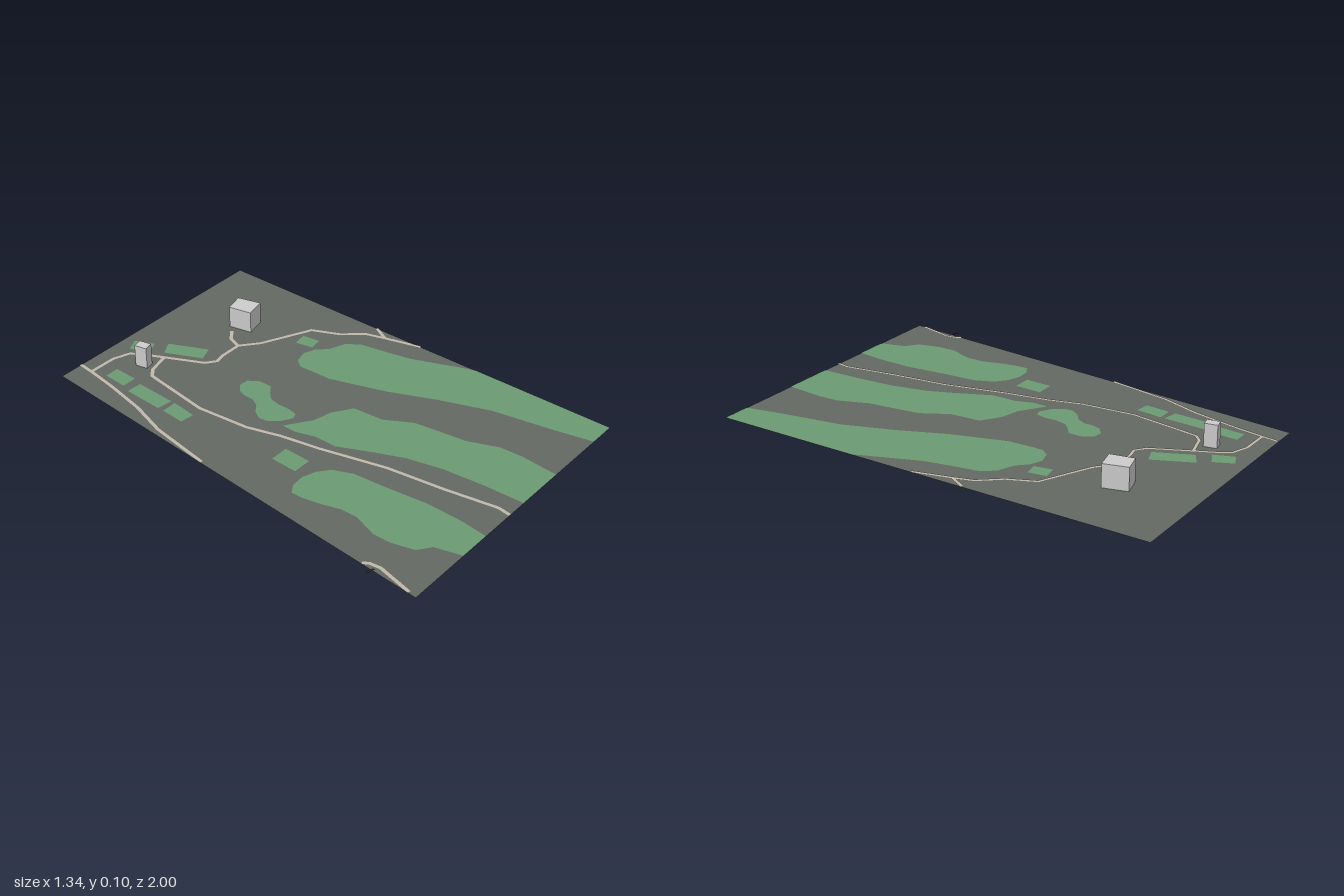
import * as THREE from 'three';

const mat = (color) => new THREE.MeshStandardMaterial({ color, side: THREE.DoubleSide });
const materials = {
  ground: mat(0x646863), grass: mat(0x6b9b73), path: mat(0xc0b8a9), dark: mat(0x2a2a2a), grey: mat(0xcccccc),
};

// turn [x, z] corners into a shape that faces up once laid flat
const toShape = (pts) => new THREE.Shape(pts.map(([x, z]) => new THREE.Vector2(x, -z)));

function flat(name, pts, material, y) {
  const mesh = new THREE.Mesh(new THREE.ShapeGeometry(toShape(pts)).rotateX(-Math.PI / 2), material);
  mesh.name = name;
  mesh.position.y = y;
  return mesh;
}

// flat strip of constant width along a polyline, with mitred corners
function ribbon(name, pts, width, material, y) {
  const p = pts.map(([x, z]) => new THREE.Vector2(x, z));
  const pos = [], idx = [];
  p.forEach((c, i) => {
    const a = c.clone().sub(p[Math.max(i - 1, 0)]).normalize();
    const b = p[Math.min(i + 1, p.length - 1)].clone().sub(c).normalize();
    const t = a.clone().add(b).normalize();
    const ref = i === 0 ? b : a;
    const h = width / 2 / Math.max(0.5, t.dot(ref));
    pos.push(c.x - t.y * h, 0, c.y + t.x * h, c.x + t.y * h, 0, c.y - t.x * h);
    if (i > 0) {
      const k = 2 * i;
      idx.push(k - 2, k, k - 1, k - 1, k, k + 1);
    }
  });
  const geo = new THREE.BufferGeometry();
  geo.setAttribute('position', new THREE.Float32BufferAttribute(pos, 3));
  geo.setIndex(idx);
  geo.computeVertexNormals();
  const mesh = new THREE.Mesh(geo, material);
  mesh.name = name;
  mesh.position.y = y;
  return mesh;
}

function building(name, pts, height) {
  const geo = new THREE.ExtrudeGeometry(toShape(pts), { depth: height, bevelEnabled: false });
  const mesh = new THREE.Mesh(geo.rotateX(-Math.PI / 2), materials.grey);
  mesh.name = name;
  return mesh;
}

const fairways = {
  leftHole: [[-0.48, 0.27], [-0.44, 0.245], [-0.38, 0.24], [-0.32, 0.26], [-0.27, 0.3], [-0.235, 0.385],
    [-0.225, 0.53], [-0.205, 0.72], [-0.21, 0.885], [-0.225, 1], [-0.37, 1], [-0.4, 0.885], [-0.455, 0.845],
    [-0.48, 0.745], [-0.48, 0.665], [-0.44, 0.56], [-0.44, 0.485], [-0.465, 0.4], [-0.48, 0.32]],
  middleHole: [[-0.165, -0.04], [-0.12, -0.01], [-0.055, 0.035], [0.03, 0.055], [0.115, 0.11], [0.125, 0.25],
    [0.19, 0.365], [0.205, 0.48], [0.22, 0.6], [0.27, 0.73], [0.275, 0.825], [0.26, 1], [0.03, 1],
    [0.025, 0.825], [0.01, 0.64], [-0.025, 0.48], [-0.07, 0.37], [-0.14, 0.215], [-0.14, 0.11], [-0.165, 0.03]],
  rightHole: [[0.215, -0.26], [0.245, -0.3], [0.305, -0.315], [0.355, -0.295], [0.4, -0.25], [0.475, -0.22],
    [0.515, -0.165], [0.54, -0.025], [0.56, 0.07], [0.665, 0.34], [0.665, 1], [0.54, 1], [0.505, 0.825],
    [0.46, 0.56], [0.38, 0.335], [0.295, 0.135], [0.22, -0.105]],
  curvedGreen: [[-0.087, -0.34], [-0.05, -0.37], [-0.01, -0.365], [0.02, -0.32], [0.02, -0.26], [-0.02, -0.23],
    [-0.05, -0.2], [-0.06, -0.15], [-0.06, -0.09], [-0.07, -0.05], [-0.1, -0.04], [-0.15, -0.07],
    [-0.18, -0.11], [-0.185, -0.15], [-0.16, -0.19], [-0.12, -0.22], [-0.1, -0.26], [-0.1, -0.3]],
};

// four-cornered lawns
const lawns = [
  [[-0.36, -0.855], [-0.295, -0.855], [-0.3, -0.745], [-0.368, -0.745]],
  [[-0.385, -0.703], [-0.315, -0.7], [-0.325, -0.51], [-0.395, -0.52]],
  [[-0.395, -0.49], [-0.325, -0.49], [-0.34, -0.373], [-0.405, -0.38]],
  [[-0.146, -0.925], [-0.088, -0.952], [-0.05, -0.868], [-0.113, -0.838]],
  [[-0.075, -0.787], [-0.012, -0.822], [0.065, -0.653], [-0.003, -0.627]],
  [[0.347, -0.394], [0.41, -0.405], [0.422, -0.325], [0.362, -0.314]],
  [[-0.362, 0.072], [-0.278, 0.072], [-0.282, 0.195], [-0.368, 0.195]],
];

const paths = {
  westPath: [[-0.37, -1], [-0.38, -0.92], [-0.405, -0.775], [-0.447, -0.585], [-0.505, -0.415], [-0.555, -0.13]],
  eastPath: [[-0.38, -0.925], [-0.25, -0.923], [-0.177, -0.897], [-0.15, -0.86], [-0.103, -0.76],
    [-0.024, -0.595], [0.02, -0.563], [0.066, -0.574], [0.167, -0.574], [0.246, -0.51], [0.468, -0.405],
    [0.52, -0.288], [0.595, -0.198], [0.62, -0.114], [0.663, 0.05]],
  eastBranch: [[0.62, -0.114], [0.663, -0.19]],
  buildingBranch: [[0.167, -0.574], [0.188, -0.632], [0.24, -0.675]],
  centrePath: [[-0.103, -0.76], [-0.204, -0.733], [-0.24, -0.7], [-0.288, -0.384], [-0.267, -0.145],
    [-0.225, 0], [-0.193, 0.177], [-0.124, 0.463], [-0.093, 0.717], [-0.056, 0.944], [-0.065, 1]],
  cornerPath: [[-0.637, 0.735], [-0.622, 0.76], [-0.617, 0.807], [-0.657, 0.965]],
};

export function createModel() {
  const model = new THREE.Group();
  model.name = 'parkSite';

  // site plate
  model.add(flat('ground', [[-0.48, -1], [0.665, -1], [0.665, 1], [-0.665, 1]], materials.ground, 0));

  // grass
  for (const [name, pts] of Object.entries(fairways)) model.add(flat(name, pts, materials.grass, 0.002));
  lawns.forEach((pts, i) => model.add(flat(`lawn${i + 1}`, pts, materials.grass, 0.002)));

  // footpaths and the small bar crossing the west edge
  for (const [name, pts] of Object.entries(paths)) model.add(ribbon(name, pts, 0.015, materials.path, 0.003));
  model.add(ribbon('edgeBar', [[-0.672, 0.782], [-0.638, 0.792]], 0.01, materials.dark, 0.004));

  // buildings
  model.add(building('largeBuilding', [[0.267, -0.71], [0.352, -0.732], [0.38, -0.627], [0.288, -0.605]], 0.1));
  model.add(building('smallBuilding', [[-0.22, -0.817], [-0.178, -0.825], [-0.167, -0.77], [-0.209, -0.76]], 0.1));
  return model;
}
